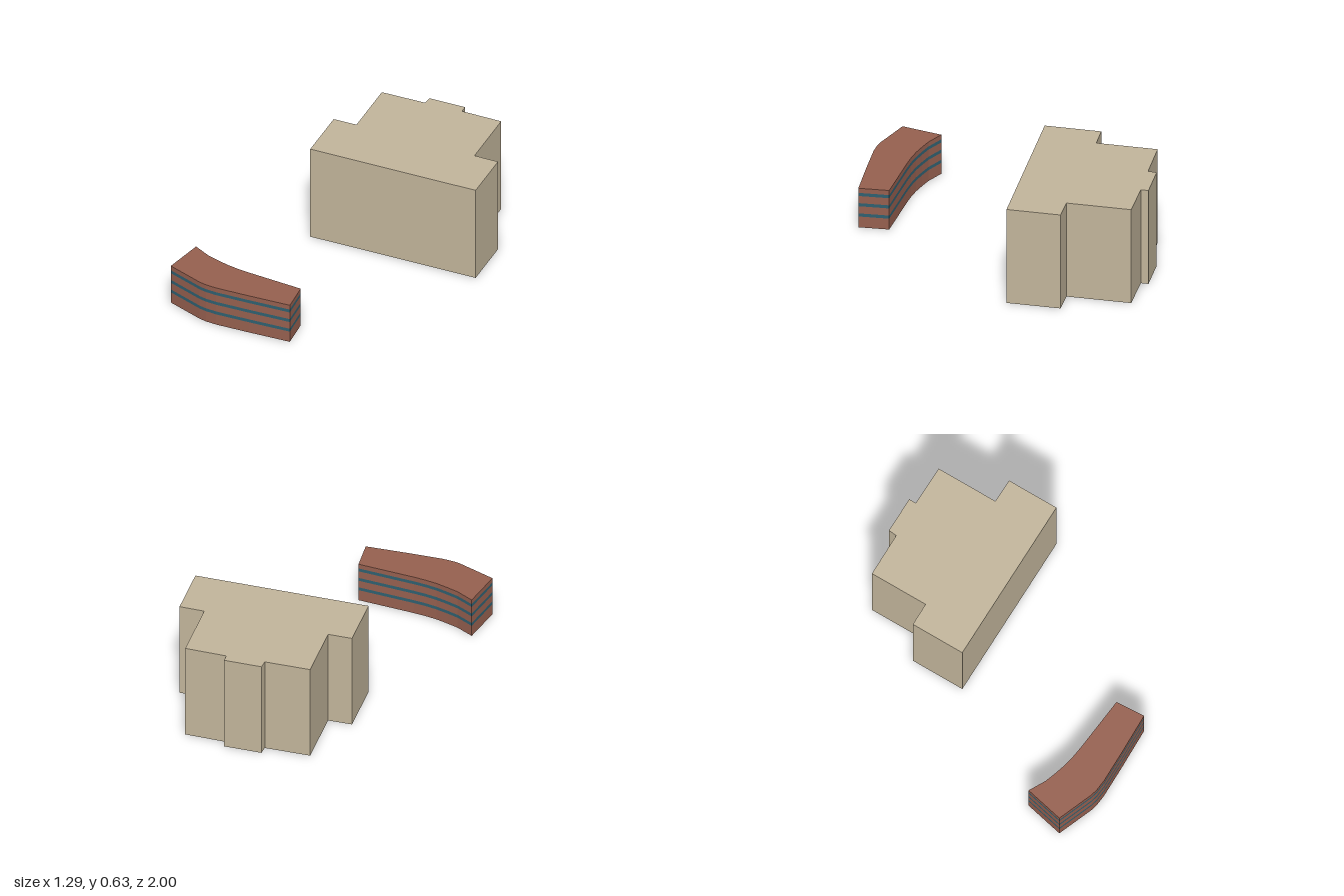
import * as THREE from 'three';

const paint = (color) => new THREE.MeshStandardMaterial({ color, flatShading: true });
const stone = paint(0xc2b59b);
const brick = paint(0x96604f);
const glass = paint(0x2f6070);

// Footprints as [x, z], anticlockwise seen from above
const towerPlan = [
  [-0.4, -0.085], [0.645, -0.33], [0.57, -0.65], [0.42, -0.617],
  [0.33, -1], [0.08, -0.945], [0.07, -0.99], [-0.155, -0.937],
  [-0.148, -0.884], [-0.42, -0.818], [-0.335, -0.455], [-0.478, -0.42],
];
const curvedPlan = [
  [-0.645, 0.965], [-0.405, 0.998], [-0.36, 0.998], [-0.29, 0.988], [-0.085, 0.937],
  [0.168, 0.87], [0.115, 0.692], [-0.235, 0.742], [-0.31, 0.75], [-0.385, 0.753],
  [-0.46, 0.749], [-0.535, 0.742], [-0.648, 0.712],
];

function mesh(name, geometry, material) {
  const m = new THREE.Mesh(geometry, material);
  m.name = name;
  return m;
}

// Upright ring of walls around a footprint
function walls(plan, y0, y1) {
  const pos = [];
  plan.forEach(([ax, az], i) => {
    const [bx, bz] = plan[(i + 1) % plan.length];
    pos.push(ax, y0, az, bx, y0, bz, bx, y1, bz);
    pos.push(ax, y0, az, bx, y1, bz, ax, y1, az);
  });
  const g = new THREE.BufferGeometry();
  g.setAttribute('position', new THREE.Float32BufferAttribute(pos, 3));
  g.computeVertexNormals();
  return g;
}

// Flat cap over a footprint, facing up or down
function cap(plan, y, up) {
  const shape = new THREE.Shape(plan.map(([x, z]) => new THREE.Vector2(x, up ? -z : z)));
  return new THREE.ShapeGeometry(shape).rotateX(up ? -Math.PI / 2 : Math.PI / 2).translate(0, y, 0);
}

function building(name, plan, height, wallMaterial, bands = []) {
  const group = new THREE.Group();
  group.name = name;
  // Alternate wall and window strips from the ground up
  const levels = [0, ...bands.flat(), height];
  for (let i = 0; i < levels.length - 1; i++) {
    const isBand = i % 2 === 1;
    group.add(mesh(isBand ? 'windowBand' : 'wall', walls(plan, levels[i], levels[i + 1]),
      isBand ? glass : wallMaterial));
  }
  group.add(mesh('roof', cap(plan, height, true), wallMaterial));
  group.add(mesh('base', cap(plan, 0, false), wallMaterial));
  return group;
}

export function createModel() {
  const model = new THREE.Group();
  model.name = 'buildings';
  model.add(building('tallBuilding', towerPlan, 0.63, stone));
  const bands = [0, 1, 2].map((i) => [0.073 + i * 0.069, 0.094 + i * 0.069]);
  model.add(building('curvedBuilding', curvedPlan, 0.263, brick, bands));
  return model;
}
